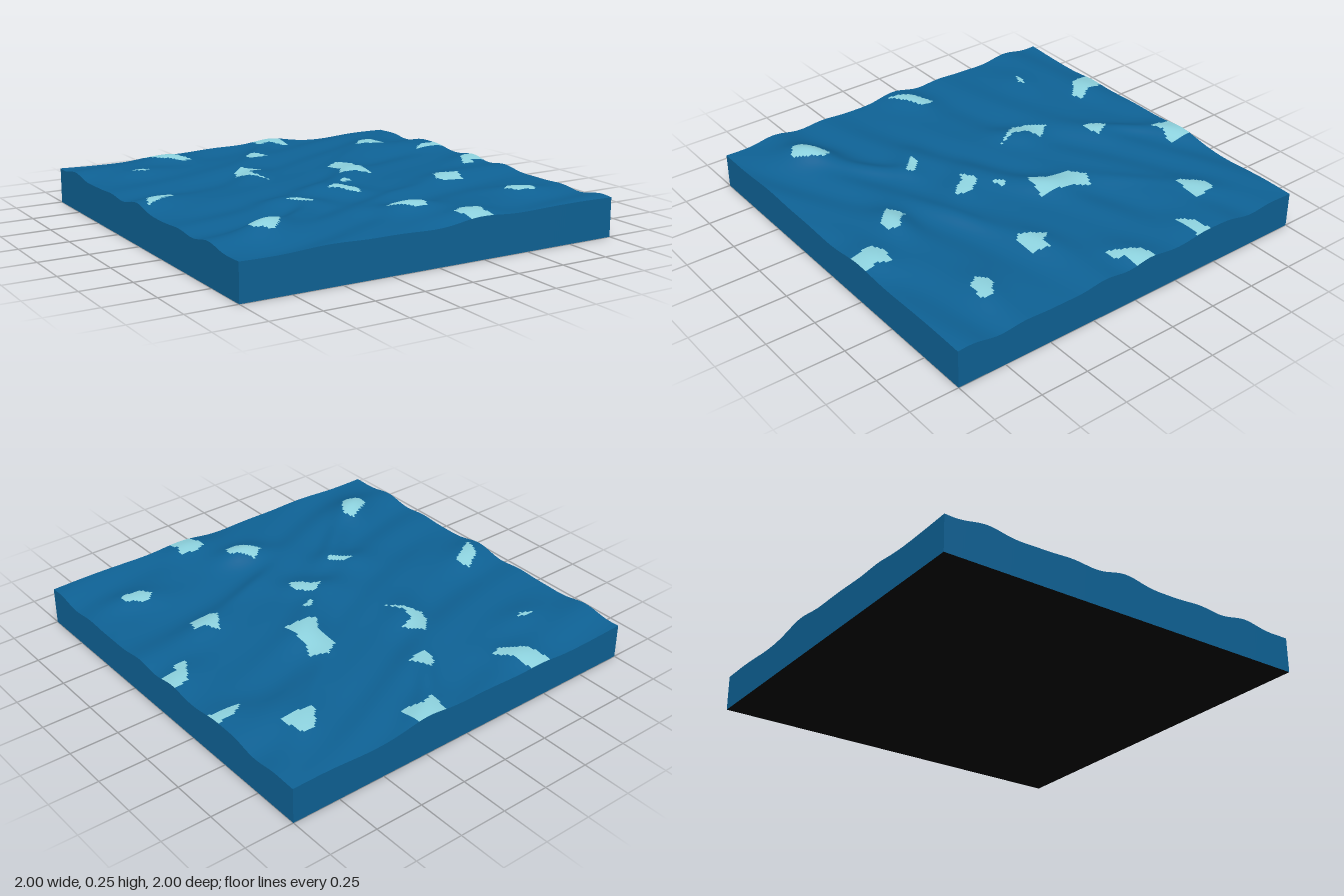
import * as THREE from 'three';

const N = 160; // grid cells per side

const water = new THREE.MeshStandardMaterial({ color: 0x0e6194 });
water.name = 'deep water blue';
const foam = new THREE.MeshStandardMaterial({ color: 0x8dd2de });
foam.name = 'pale foam';
const under = new THREE.MeshStandardMaterial({ color: 0x050505 });
under.name = 'black underside';

// Rolling swell: warped waves with crests tilted across the block
function swell(x, z) {
  const w = z + 0.22 * x + 0.06 * Math.sin(3.1 * x + 1.3 * z);
  return 0.186
    + 0.007 * Math.sin(17 * w + 1.2 * Math.sin(2.3 * x - z))
    + 0.005 * Math.sin(9 * w - 3.2 * x + 0.8)
    + 0.003 * Math.sin(27 * w + 4 * x);
}

// Crests: elongated mounds that lift the swell to a given height
const crests = [];
function crest(x, z, top, length, width, angle) {
  crests.push({ x, z, lift: top - swell(x, z), length, width, c: Math.cos(angle), s: Math.sin(angle) });
}

function height(x, z) {
  let y = swell(x, z);
  for (const k of crests) {
    const dx = x - k.x, dz = z - k.z;
    const u = (dx * k.c - dz * k.s) / k.length;
    const v = (dx * k.s + dz * k.c) / k.width;
    y += k.lift * Math.exp(-u * u - v * v);
  }
  return y;
}

// Foam caps: an outline in x, z with a crest beneath it
const caps = [];
function cap(top, angle, ...p) {
  const pts = [];
  for (let i = 0; i < p.length; i += 2) pts.push([p[i], p[i + 1]]);
  caps.push(pts);
  const xs = pts.map(q => q[0]), zs = pts.map(q => q[1]);
  const mid = a => (Math.min(...a) + Math.max(...a)) / 2;
  crest(mid(xs), mid(zs), top, 0.17, 0.1, angle);
}

function inside(pts, x, z) {
  let hit = false;
  for (let i = 0, j = pts.length - 1; i < pts.length; j = i++) {
    const [ax, az] = pts[i], [bx, bz] = pts[j];
    if ((az > z) !== (bz > z) && x < (bx - ax) * (z - az) / (bz - az) + ax) hit = !hit;
  }
  return hit;
}

function layOutCrests() {
  crests.length = caps.length = 0;
  // back rows
  cap(0.21, -0.9, -0.53, -1.01, -0.4, -1.01, -0.38, -0.88, -0.33, -0.81, -0.39, -0.79, -0.5, -0.88);
  cap(0.213, 0.5, 0.14, -1.01, 0.3, -1.01, 0.3, -0.88, 0.25, -0.88, 0.19, -0.91, 0.12, -0.88);
  cap(0.205, 0.1, -0.74, -0.67, -0.7, -0.68, -0.65, -0.66, -0.68, -0.64);
  cap(0.206, 0.8, -0.08, -0.67, -0.03, -0.72, 0.03, -0.61, -0.09, -0.6);
  cap(0.21, 0.7, 0.6, -0.64, 0.68, -0.74, 0.74, -0.74, 0.77, -0.6, 0.6, -0.61);
  cap(0.208, 0.1, 0.83, -0.39, 0.91, -0.45, 1.01, -0.46, 1.01, -0.38);
  // middle rows
  cap(0.21, 1.0, -0.29, -0.39, -0.22, -0.46, -0.15, -0.37, -0.23, -0.34, -0.25, -0.27, -0.21, -0.15, -0.32, -0.32);
  cap(0.214, 0.9, 0.19, -0.27, 0.27, -0.32, 0.35, -0.28, 0.31, -0.19, 0.3, -0.01, 0.23, -0.03, 0.13, -0.05, 0.19, -0.14);
  cap(0.215, 0.8, -0.97, 0.04, -0.92, -0.08, -0.8, -0.15, -0.78, -0.07, -0.87, -0.02);
  cap(0.208, 0.5, 0.83, 0.05, 0.92, -0.1, 1.01, -0.12, 1.01, 0, 0.92, 0, 0.9, 0.05);
  cap(0.205, 0.5, 0.04, 0.09, 0.1, 0.04, 0.11, 0.08, 0.06, 0.1);
  cap(0.21, -0.7, -0.09, 0.19, -0.01, 0.14, 0.05, 0.22, 0.04, 0.31, 0, 0.29, -0.04, 0.22);
  cap(0.213, 0.3, 0.49, 0.28, 0.56, 0.16, 0.6, 0.22, 0.66, 0.23, 0.63, 0.31, 0.51, 0.31);
  cap(0.208, -0.6, -0.38, 0.29, -0.32, 0.28, -0.26, 0.35, -0.29, 0.38);
  // front rows
  cap(0.253, 0.6, -0.79, 0.68, -0.64, 0.6, -0.61, 0.65, -0.67, 0.74, -0.72, 0.78, -0.79, 0.73);
  cap(0.234, -0.2, -0.05, 0.66, 0.03, 0.6, 0.06, 0.65, 0.13, 0.69, 0.11, 0.75, 0.04, 0.75);
  cap(0.215, -0.3, 0.64, 0.64, 0.7, 0.59, 0.79, 0.66, 0.78, 0.71, 0.68, 0.7);
  cap(0.22, 0.2, 0.16, 0.88, 0.23, 0.85, 0.32, 0.87, 0.29, 0.93, 0.31, 1.01, 0.18, 1.01);
  // bare diagonal ridges between the caps
  crest(-0.42, 0.5, 0.205, 0.2, 0.06, 0.7);
  crest(0.2, 0.4, 0.203, 0.24, 0.05, 0.35);
  crest(0.44, -0.46, 0.203, 0.2, 0.05, 0.7);
  crest(0.06, -0.78, 0.203, 0.14, 0.05, 0.8);
}

// Wavy surface, its cells sorted into water and foam
function makeSurface() {
  const geo = new THREE.PlaneGeometry(2, 2, N, N).rotateX(-Math.PI / 2);
  const pos = geo.attributes.position;
  for (let i = 0; i < pos.count; i++) pos.setY(i, height(pos.getX(i), pos.getZ(i)));
  const blue = [], white = [], idx = geo.index.array;
  for (let i = 0; i < idx.length; i += 6) {
    const cell = i / 6;
    const x = -1 + 2 * (cell % N + 0.5) / N;
    const z = -1 + 2 * (Math.floor(cell / N) + 0.5) / N;
    const list = caps.some(c => inside(c, x, z)) ? white : blue;
    for (let k = 0; k < 6; k++) list.push(idx[i + k]);
  }
  geo.setIndex(blue.concat(white));
  geo.addGroup(0, blue.length, 0);
  geo.addGroup(blue.length, white.length, 1);
  geo.computeVertexNormals();
  const mesh = new THREE.Mesh(geo, [water, foam]);
  mesh.name = 'waveSurface';
  return mesh;
}

// Flat side wall whose top edge follows the waves
function makeWall(name, turn) {
  const geo = new THREE.PlaneGeometry(2, 1, N, 1).translate(0, 0.5, 1).rotateY(turn);
  const pos = geo.attributes.position;
  for (let i = 0; i < pos.count; i++) {
    pos.setY(i, pos.getY(i) > 0.5 ? height(pos.getX(i), pos.getZ(i)) : 0);
  }
  const mesh = new THREE.Mesh(geo, water);
  mesh.name = name;
  return mesh;
}

export function createModel() {
  const model = new THREE.Group();
  model.name = 'oceanBlock';
  layOutCrests();
  model.add(makeSurface());
  ['frontWall', 'leftWall', 'backWall', 'rightWall'].forEach((name, i) => {
    model.add(makeWall(name, i * Math.PI / 2));
  });
  const base = new THREE.Mesh(new THREE.PlaneGeometry(2, 2).rotateX(Math.PI / 2), under);
  base.name = 'underside';
  model.add(base);
  return model;
}
